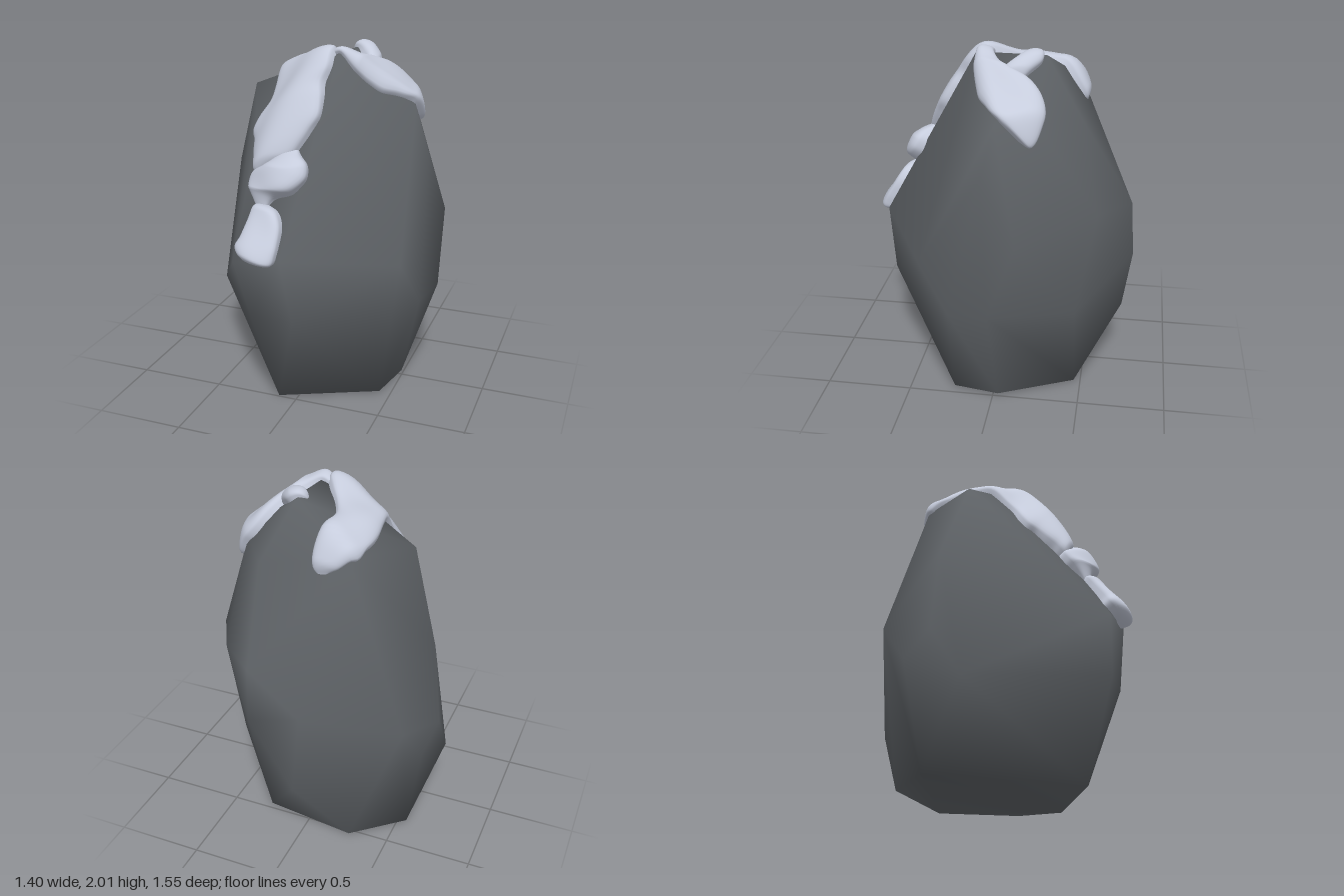
import * as THREE from 'three';
import { mergeVertices } from 'three/addons/utils/BufferGeometryUtils.js';
import { ConvexGeometry } from 'three/addons/geometries/ConvexGeometry.js';

const rockMaterial = new THREE.MeshStandardMaterial({ color: 0x5d6165 });
rockMaterial.name = 'dark stone';
const snowMaterial = new THREE.MeshStandardMaterial({ color: 0xc6ccdc });
snowMaterial.name = 'pale snow';

// Corners of the boulder, from the base up
const corners = [
  // base
  [-0.11, 0, 0.49], [0.43, 0, 0.24], [0.49, 0.01, -0.03], [0.27, 0, -0.46],
  [-0.27, 0, -0.53], [-0.55, 0, -0.29],
  // belly
  [-0.7, 0.46, -0.05], [-0.65, 0.6, -0.38], [0.0, 0.4, -0.72], [-0.2, 0.58, 0.66],
  [0.05, 0.58, 0.67], [0.7, 0.64, 0.0], [0.65, 0.62, 0.23], [0.42, 0.55, -0.46],
  // widest ring
  [-0.695, 0.74, -0.22], [-0.58, 0.82, -0.53], [-0.29, 0.9, 0.68], [0.0, 0.95, 0.715],
  [0.58, 0.89, 0.4], [0.23, 0.86, -0.77], [-0.05, 0.9, -0.72],
  // shoulders
  [-0.64, 1.22, -0.2], [0.69, 1.06, -0.15], [0.45, 1.18, -0.57], [0.23, 1.17, -0.75],
  [0.63, 1.42, 0.04], [-0.33, 1.47, 0.25],
  // crown
  [-0.47, 1.73, -0.09], [0.53, 1.68, -0.02], [0.46, 1.69, -0.23], [-0.22, 1.76, -0.42],
  [0.28, 1.66, -0.46], [0.13, 1.97, 0.14], [0.15, 1.97, -0.25],
].map((p) => new THREE.Vector3(...p));

// Face planes of the boulder, used to lay snow on it
function facePlanes(geometry) {
  const p = geometry.attributes.position;
  const planes = [];
  const v = [0, 1, 2].map(() => new THREE.Vector3());
  for (let i = 0; i < p.count; i += 3) {
    v.forEach((q, k) => q.fromBufferAttribute(p, i + k));
    planes.push(new THREE.Plane().setFromCoplanarPoints(...v));
  }
  return planes;
}

// Point and softened normal of the rock, seen along the y or z axis
function surfaceAt(planes, axis, x, b) {
  const hits = [];
  for (const { normal: n, constant } of planes) {
    if (n[axis] < 0.15) continue;
    const other = axis === 'y' ? n.z : n.y;
    hits.push({ n, h: -(constant + n.x * x + other * b) / n[axis] });
  }
  const low = Math.min(...hits.map((q) => q.h));
  const normal = new THREE.Vector3();
  let sum = 0, height = 0;
  for (const { n, h } of hits) {
    const w = Math.exp(-35 * (h - low));
    sum += w;
    height += w * h;
    normal.addScaledVector(n, w);
  }
  height /= sum;
  const point = axis === 'y' ? new THREE.Vector3(x, height, b) : new THREE.Vector3(x, b, height);
  return { point, normal: normal.normalize() };
}

// A domed snow patch; each row is [position along, edge a, edge b]
function snowPatch(planes, rows, thickness, axis, alongX) {
  const curve = new THREE.CatmullRomCurve3(rows.map((r) => new THREE.Vector3(...r)), false, 'centripetal');
  const nu = rows.length * 5, nv = 18;
  const positions = [], indices = [];
  for (let i = 0; i <= nu; i++) {
    const r = curve.getPoint(i / nu);
    const width = Math.abs(r.z - r.y);
    // round off both ends
    const end = Math.pow(Math.max(0, 1 - Math.pow(Math.abs(2 * i / nu - 1), 6)), 0.5);
    for (let j = 0; j <= nv; j++) {
      const a = (j / nv - 0.5) * Math.PI;
      const across = (r.y + r.z) / 2 + (r.z - r.y) / 2 * Math.sin(a);
      const [x, b] = alongX ? [r.x, across] : [across, r.x];
      const { point, normal } = surfaceAt(planes, axis, x, b);
      const lump = 1 + 0.15 * Math.sin(13 * x + 11 * b);
      const lift = Math.min(thickness(b) * lump, width * 0.4) * end * Math.sqrt(Math.max(0, Math.cos(a)));
      point.addScaledVector(normal, lift * 1.1 - 0.012);
      positions.push(point.x, point.y, point.z);
      if (i < nu && j < nv) {
        const k = i * (nv + 1) + j, n = k + nv + 1;
        indices.push(k, n, k + 1, n, n + 1, k + 1);
      }
    }
  }
  const geometry = new THREE.BufferGeometry();
  geometry.setAttribute('position', new THREE.Float32BufferAttribute(positions, 3));
  geometry.setIndex(indices);
  geometry.computeVertexNormals();
  return geometry;
}

export function createModel() {
  const model = new THREE.Group();
  model.name = 'snowyBoulder';
  const add = (name, geometry, material) => {
    const mesh = new THREE.Mesh(geometry, material);
    mesh.name = name;
    model.add(mesh);
  };

  // Boulder with softly blended faces
  const hull = new ConvexGeometry(corners);
  const planes = facePlanes(hull);
  hull.deleteAttribute('normal');
  const boulder = mergeVertices(hull);
  boulder.computeVertexNormals();
  add('boulder', boulder, rockMaterial);

  // Cap running from the back over the crown and down the front, thicker on the slope
  add('crownSnow', snowPatch(planes, [
    [-0.475, -0.1, -0.07], [-0.45, -0.18, -0.03], [-0.4, -0.25, -0.02], [-0.3, -0.28, -0.04],
    [-0.2, -0.29, -0.05], [-0.1, -0.28, -0.01], [0, -0.27, 0.06], [0.07, -0.27, 0.1],
    [0.13, -0.28, 0.1], [0.18, -0.33, 0.1], [0.22, -0.34, 0.08], [0.27, -0.31, 0.09],
    [0.32, -0.29, 0.09], [0.36, -0.27, 0.05], [0.39, -0.26, 0.01], [0.415, -0.24, -0.03],
    [0.425, -0.19, -0.07],
  ], (z) => 0.065 + 0.025 * THREE.MathUtils.smoothstep(z, 0.08, 0.25), 'y', false), snowMaterial);

  // Wide lobe on the side shoulder
  add('shoulderSnow', snowPatch(planes, [
    [0.52, -0.15, -0.08], [0.51, -0.21, -0.04], [0.475, -0.25, 0.0], [0.42, -0.27, 0.04],
    [0.36, -0.25, 0.08], [0.3, -0.18, 0.105], [0.25, -0.08, 0.12], [0.2, 0.0, 0.13],
    [0.14, 0.04, 0.13], [0.08, 0.04, 0.11], [0.03, 0.06, 0.08],
  ], () => 0.065, 'y', true), snowMaterial);

  // Small finger beside the lobe
  add('fingerSnow', snowPatch(planes, [
    [0.3, -0.12, -0.04], [0.25, -0.18, -0.02], [0.2, -0.23, -0.08],
    [0.16, -0.235, -0.13], [0.125, -0.22, -0.16], [0.105, -0.2, -0.18],
  ], () => 0.055, 'y', true), snowMaterial);

  // Two joined lobes down the front, laid out by height
  add('frontLobeSnow', snowPatch(planes, [
    [1.51, -0.08, -0.03], [1.47, -0.1, 0.01], [1.43, -0.12, 0.06], [1.38, -0.17, 0.075],
    [1.33, -0.26, 0.06], [1.28, -0.27, 0.01], [1.24, -0.25, -0.09], [1.2, -0.22, -0.13],
    [1.17, -0.2, -0.14],
  ], () => 0.09, 'z', false), snowMaterial);

  // Lowest drip on the front
  add('frontDripSnow', snowPatch(planes, [
    [1.21, -0.18, -0.15], [1.18, -0.21, -0.06], [1.12, -0.22, -0.02], [1.03, -0.24, -0.015],
    [0.98, -0.26, -0.02], [0.94, -0.22, -0.03], [0.91, -0.14, -0.07],
  ], () => 0.075, 'z', false), snowMaterial);

  return model;
}
